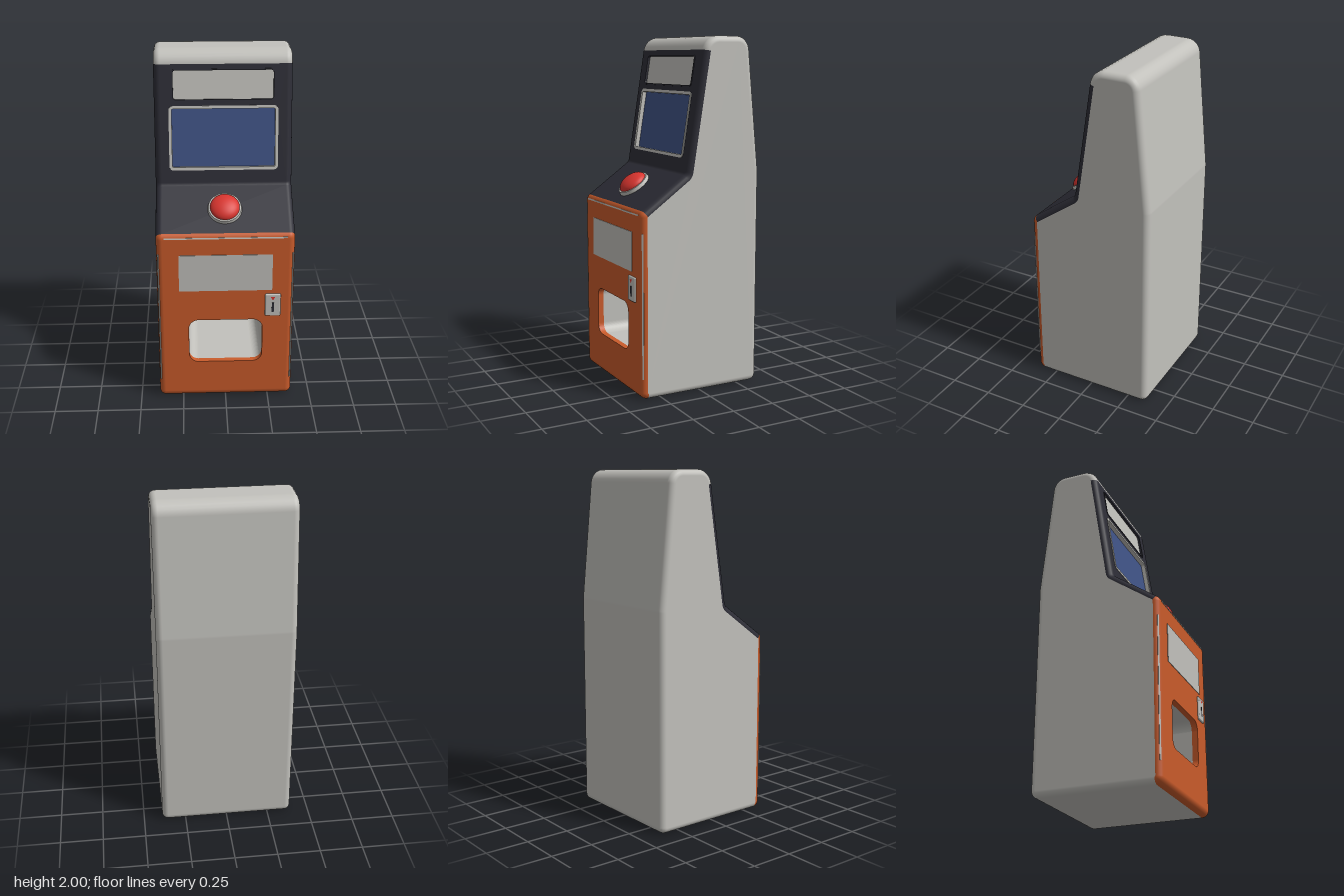
import * as THREE from 'three';
import { RoundedBoxGeometry } from 'three/addons/geometries/RoundedBoxGeometry.js';

const mat = (name, color, extra = {}) => Object.assign(new THREE.MeshStandardMaterial({ color, ...extra }), { name });

// side profile corners: z, y, fillet radius, colour index (0 grey, 1 orange, 2 dark)
const CORNERS = [
  [0.37, 0, 0.04, 1],
  [0.37, 1.05, 0.04, 1],
  [0.09, 1.25, 0.03, 2],
  [-0.03, 2, 0.09, 0],
  [-0.303, 2, 0.08, 0],
  [-0.378, 1.25, 0.12, 0],
  [-0.378, 0, 0.04, 0],
];
// colour of the straight edge that follows each corner
const EDGE_COLOURS = [1, 2, 2, 0, 0, 0, 0];
const HALF = 0.39, BEVEL = 0.035, K = 6, M = 5;

// rounded profile points with their outward normals
function roundedProfile() {
  const n = CORNERS.length, out = [];
  CORNERS.forEach(([z, y, r], i) => {
    const a = CORNERS[(i + n - 1) % n], b = CORNERS[(i + 1) % n];
    const v = new THREE.Vector2(z, y);
    const d0 = v.clone().sub(new THREE.Vector2(a[0], a[1])).normalize();
    const d1 = new THREE.Vector2(b[0], b[1]).sub(v).normalize();
    const turn = Math.atan2(d0.cross(d1), d0.dot(d1)), s = Math.sign(turn);
    const n0 = new THREE.Vector2(d0.y, -d0.x);
    const centre = v.clone().addScaledVector(d0, -r * Math.tan(Math.abs(turn) / 2)).addScaledVector(n0, -s * r);
    for (let k = 0; k <= K; k++) {
      const normal = n0.clone().rotateAround(new THREE.Vector2(), turn * k / K);
      out.push({ p: centre.clone().addScaledVector(normal, s * r), n: normal });
    }
  });
  return out;
}

// rounded rectangle centred on x, from y0 to y1
function roundRect(C, cx, hw, y0, y1, r) {
  const s = new C();
  s.moveTo(cx - hw + r, y0);
  s.lineTo(cx + hw - r, y0);
  s.absarc(cx + hw - r, y0 + r, r, -Math.PI / 2, 0);
  s.lineTo(cx + hw, y1 - r);
  s.absarc(cx + hw - r, y1 - r, r, 0, Math.PI / 2);
  s.lineTo(cx - hw + r, y1);
  s.absarc(cx - hw + r, y1 - r, r, Math.PI / 2, Math.PI);
  s.lineTo(cx - hw, y0 + r);
  s.absarc(cx - hw + r, y0 + r, r, Math.PI, Math.PI * 1.5);
  return s;
}

export function createModel() {
  const model = new THREE.Group();
  model.name = 'arcadeVendingCabinet';
  const grey = mat('light grey', 0xc2c1bc, { side: THREE.DoubleSide });
  const orange = mat('orange', 0xc95b2b);
  const dark = mat('charcoal', 0x2d2d36);
  const blue = mat('screen blue', 0x3f5285);
  const red = mat('red', 0xd9352f);
  const palette = [grey, orange, dark];

  const add = (parent, name, geo, material, x = 0, y = 0, z = 0) => {
    const m = new THREE.Mesh(geo, material);
    m.name = name;
    m.position.set(x, y, z);
    parent.add(m);
    return m;
  };

  // shell: the profile swept across the width with rounded side edges
  const prof = roundedProfile(), N = prof.length, rows = 2 * (M + 1);
  const pos = [], nor = [], faces = [[], [], []];
  for (const { p, n } of prof) {
    for (let j = 0; j < rows; j++) {
      const right = j > M;
      const t = (right ? (j - M - 1) / M : j / M - 1) * Math.PI / 2;
      const inset = BEVEL * (1 - Math.cos(t));
      pos.push((right ? 1 : -1) * (HALF - BEVEL) + BEVEL * Math.sin(t), p.y - n.y * inset, p.x - n.x * inset);
      nor.push(Math.sin(t), n.y * Math.cos(t), n.x * Math.cos(t));
    }
  }
  for (let i = 0; i < N; i++) {
    const corner = Math.floor(i / (K + 1)), edge = i % (K + 1) === K;
    const colour = edge ? EDGE_COLOURS[corner] : CORNERS[corner][3];
    for (let j = 0; j < rows - 1; j++) {
      if (edge && j === M && (corner === 0 || corner === 2)) continue; // pierced panels go here
      const a = i * rows + j, d = ((i + 1) % N) * rows + j;
      faces[colour].push(a, a + 1, d + 1, a, d + 1, d);
    }
  }
  const shell = new THREE.BufferGeometry();
  shell.setAttribute('position', new THREE.Float32BufferAttribute(pos, 3));
  shell.setAttribute('normal', new THREE.Float32BufferAttribute(nor, 3));
  shell.setIndex(faces.flat());
  let start = 0;
  faces.forEach((f, i) => { shell.addGroup(start, f.length, i); start += f.length; });
  add(model, 'cabinetShell', shell, palette);

  // flat side walls
  for (const s of [-1, 1]) {
    const outline = prof.map(({ p, n }) => new THREE.Vector2(-s * (p.x - n.x * BEVEL), p.y - n.y * BEVEL));
    const geo = new THREE.ShapeGeometry(new THREE.Shape(outline)).rotateY(s * Math.PI / 2);
    add(model, s > 0 ? 'leftSide' : 'rightSide', geo, grey, s * HALF);
  }

  // group lying on a profile edge: local y runs up the edge, local z points out
  const onEdge = (i, name) => {
    const a = CORNERS[i], b = CORNERS[i + 1], g = new THREE.Group();
    g.name = name;
    g.position.set(0, a[1], a[0]);
    g.rotation.x = Math.atan2(b[0] - a[0], b[1] - a[1]);
    model.add(g);
    return g;
  };
  // flat middle of an edge, pierced by openings
  const piercedPanel = (g, i, material, holes) => {
    const v = new THREE.Vector2(CORNERS[i][0], CORNERS[i][1]);
    const y0 = prof[i * (K + 1) + K].p.distanceTo(v), y1 = prof[(i + 1) * (K + 1)].p.distanceTo(v);
    const w = HALF - BEVEL;
    const shape = new THREE.Shape([[-w, y0], [w, y0], [w, y1], [-w, y1]].map(q => new THREE.Vector2(...q)));
    shape.holes = holes.map(h => roundRect(THREE.Path, ...h));
    add(g, 'panelFace', new THREE.ShapeGeometry(shape), material);
  };
  // rectangular collar around an opening
  const collar = (g, name, [cx, hw, y0, y1, r], wall, z0, z1, material) => {
    const s = roundRect(THREE.Shape, cx, hw + wall, y0 - wall, y1 + wall, r + wall);
    s.holes.push(roundRect(THREE.Path, cx, hw, y0, y1, r));
    add(g, name, new THREE.ExtrudeGeometry(s, { depth: z1 - z0, bevelEnabled: false }), material, 0, 0, z0);
  };

  // lower front door with its dispensing bay
  const door = onEdge(0, 'frontDoor');
  const bay = [0, 0.212, 0.24, 0.52, 0.055];
  piercedPanel(door, 0, orange, [bay]);
  collar(door, 'bayLip', bay, 0.01, -0.035, -0.0005, orange);
  collar(door, 'bayWalls', bay, 0.01, -0.5, -0.035, grey);
  add(door, 'bayBack', new THREE.ShapeGeometry(roundRect(THREE.Shape, ...bay)), grey, 0, 0, -0.495);
  add(door, 'baySlot', new THREE.BoxGeometry(0.3, 0.065, 0.29), dark, 0, 0.443, -0.345);
  add(door, 'infoPlate', new THREE.BoxGeometry(0.53, 0.225, 0.004), grey, 0, 0.823, 0.001);

  // coin slot
  add(door, 'coinPlate', new RoundedBoxGeometry(0.09, 0.142, 0.02, 3, 0.008), grey, 0.27, 0.615, 0);
  add(door, 'coinSlit', new THREE.BoxGeometry(0.012, 0.06, 0.003), dark, 0.27, 0.602, 0.01);
  const arrow = new THREE.Shape([[-0.014, 0.01], [0, -0.012], [0.014, 0.01]].map(q => new THREE.Vector2(...q)));
  add(door, 'coinArrow', new THREE.ShapeGeometry(arrow), red, 0.27, 0.66, 0.0112);

  // light trim strips along the door edges
  add(door, 'topTrim', new THREE.BoxGeometry(0.69, 0.008, 0.005), grey, 0, 1.038, -0.001).rotation.x = -0.23;
  for (const s of [-1, 1]) {
    add(door, 'sideTrim', new THREE.BoxGeometry(0.009, 0.82, 0.005), grey, s * 0.3805, 0.53, -0.0095).rotation.y = s * Math.PI / 4;
  }

  // sloped console with push button
  const console_ = onEdge(1, 'console');
  const button = new THREE.Group();
  button.name = 'pushButton';
  button.position.set(0, 0.178, 0);
  button.rotation.x = Math.PI / 2;
  console_.add(button);
  add(button, 'buttonRing', new THREE.CylinderGeometry(0.093, 0.098, 0.022, 40), grey, 0, 0.009, 0);
  const dome = new THREE.SphereGeometry(0.084, 40, 14, 0, Math.PI * 2, 0, Math.PI / 2).scale(1, 0.52, 1);
  add(button, 'buttonDome', dome, red, 0, 0.018, 0);

  // upper panel with recessed screen and header sign
  const upper = onEdge(2, 'upperPanel');
  const screen = [0, 0.292, 0.1, 0.434, 0.008], screenHole = [0, 0.308, 0.083, 0.45, 0.02];
  const sign = [0, 0.282, 0.486, 0.648, 0.014];
  piercedPanel(upper, 2, dark, [screenHole, sign]);
  collar(upper, 'screenFrame', screen, 0.017, -0.03, 0.003, grey);
  add(upper, 'screen', new THREE.PlaneGeometry(0.6, 0.35), blue, 0, 0.267, -0.022);
  collar(upper, 'signFrame', sign, 0.008, -0.02, 0.003, dark);
  add(upper, 'headerSign', new THREE.PlaneGeometry(0.57, 0.168), grey, 0, 0.567, -0.01);

  return model;
}
